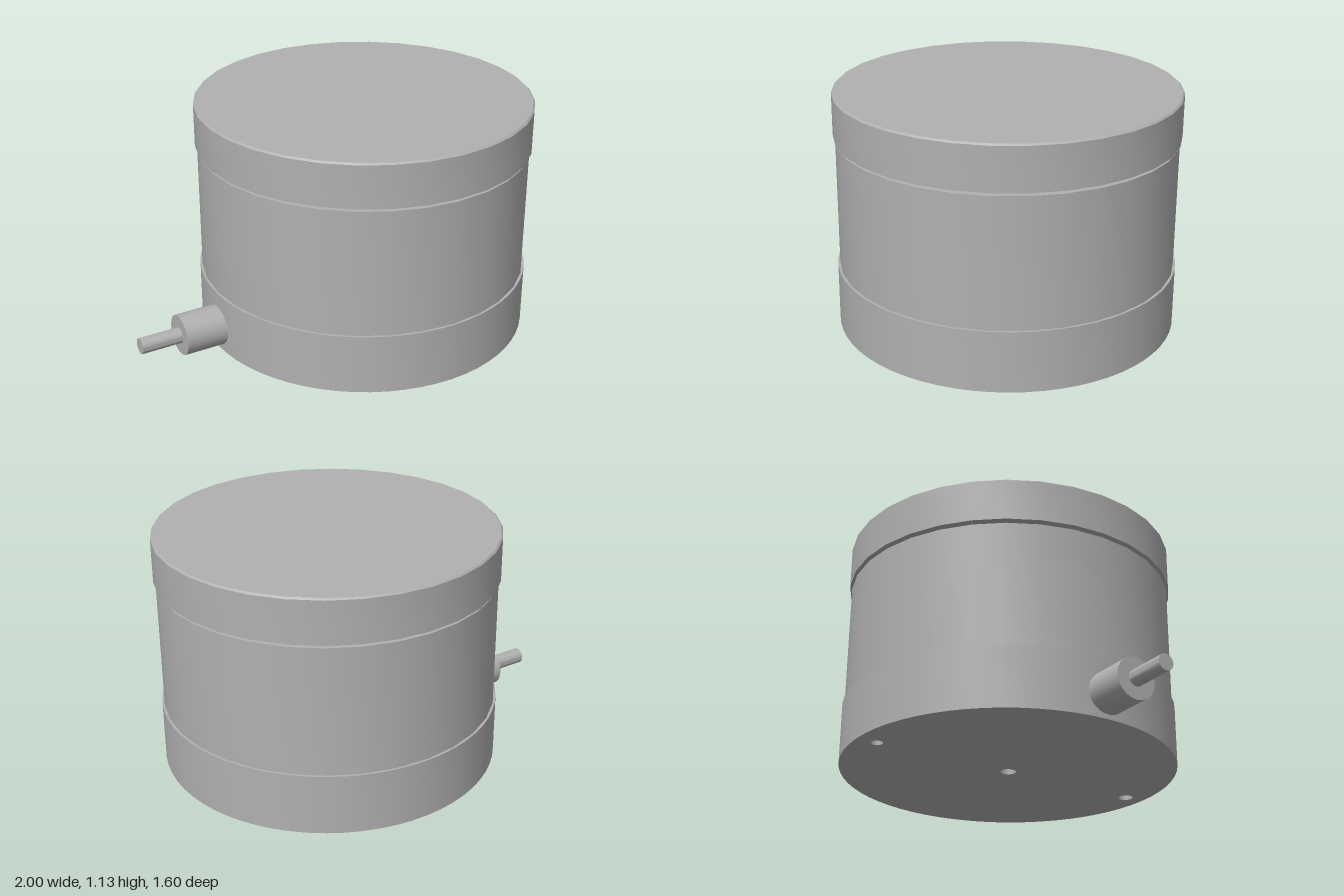
import * as THREE from 'three';
import { toCreasedNormals } from 'three/addons/utils/BufferGeometryUtils.js';

const SIDES = 32;
const AXIS_X = 0.199;
const CREASE = Math.PI / 6;

export function createModel() {
  const model = new THREE.Group();
  model.name = 'loadSensor';
  const metal = new THREE.MeshStandardMaterial({ color: 0xb0b0b0 });
  metal.name = 'grey metal';

  const add = (name, geometry, x, y) => {
    const mesh = new THREE.Mesh(toCreasedNormals(geometry, CREASE), metal);
    mesh.name = name;
    mesh.position.set(x, y, 0);
    model.add(mesh);
  };

  // Round part turned about the body axis, from [radius, height] points
  const turned = (name, points) =>
    add(name, new THREE.LatheGeometry(points.map(([r, y]) => new THREE.Vector2(r, y)), SIDES), AXIS_X, 0);

  // Base ring with a centre hole and two mounting holes underneath
  const disc = new THREE.Shape().absarc(0, 0, 0.801, 0, Math.PI * 2);
  for (const [z, r] of [[0, 0.037], [-0.7, 0.036], [0.7, 0.029]]) {
    disc.holes.push(new THREE.Path().absarc(0, z, r, 0, Math.PI * 2, true));
  }
  const base = new THREE.ExtrudeGeometry(disc, { depth: 0.29, bevelEnabled: false, curveSegments: SIDES });
  base.rotateX(-Math.PI / 2);
  add('base', base, AXIS_X, 0);

  // Main housing, narrow neck and chamfered cap
  turned('housing', [[0, 0.29], [0.791, 0.29], [0.791, 0.902], [0, 0.902]]);
  turned('neck', [[0.757, 0.9], [0.757, 0.922]]);
  turned('cap', [[0, 0.918], [0.801, 0.918], [0.801, 1.121], [0.793, 1.129], [0, 1.129]]);

  // Cable outlet on the side of the base
  const sideRod = (name, radius, from, to) => {
    const rod = new THREE.CylinderGeometry(radius, radius, to - from, SIDES);
    rod.rotateZ(Math.PI / 2);
    add(name, rod, (from + to) / 2, 0.12);
  };
  sideRod('cableGland', 0.098, -0.8, -0.57);
  sideRod('cable', 0.038, -1, -0.79);

  return model;
}
